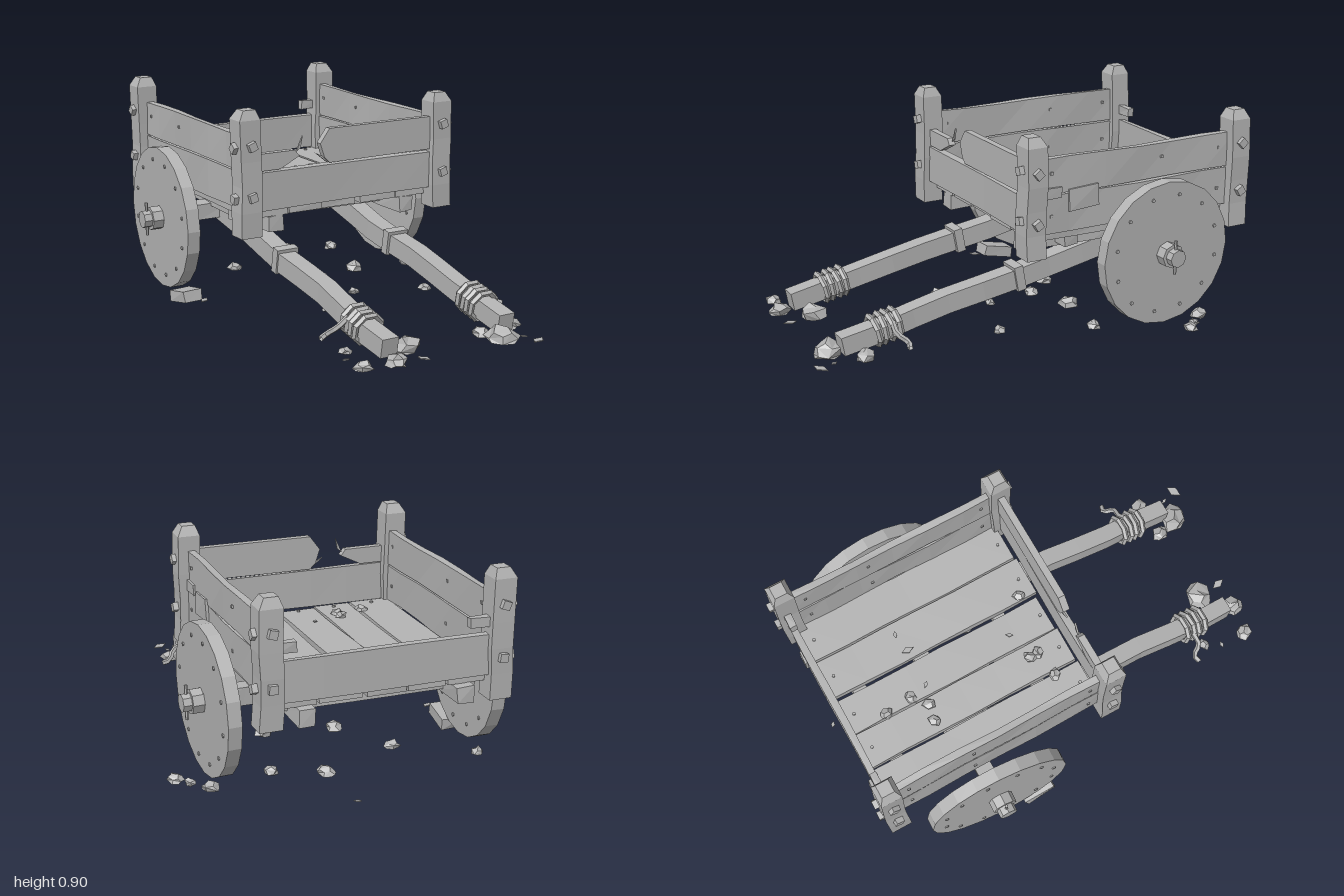
import * as THREE from 'three';

const stone = new THREE.MeshStandardMaterial({ color: 0xb4b4b4, flatShading: true, side: THREE.DoubleSide });
stone.name = 'plain grey';

let seed = 7;
const rand = () => (seed = (seed * 16807) % 2147483647) / 2147483647;

function add(parent, name, geo, x = 0, y = 0, z = 0) {
  const m = new THREE.Mesh(geo, stone);
  m.name = name;
  m.position.set(x, y, z);
  parent.add(m);
  return m;
}

// Moves every vertex by a rule
function warp(geo, fn) {
  const p = geo.attributes.position, v = new THREE.Vector3();
  for (let i = 0; i < p.count; i++) {
    v.fromBufferAttribute(p, i);
    fn(v);
    p.setXYZ(i, v.x, v.y, v.z);
  }
  geo.computeVertexNormals();
  return geo;
}

// Rough-hewn timber given by its min and max corners
function timber(parent, name, x0, x1, y0, y1, z0, z1, amp = 0.003) {
  const seg = (l) => Math.max(1, Math.round(l / 0.16));
  const w = x1 - x0, h = y1 - y0, d = z1 - z0, s = rand() * 20;
  const g = warp(new THREE.BoxGeometry(w, h, d, seg(w), seg(h), seg(d)), (v) => {
    const a = v.x * 23 + v.y * 31 + v.z * 27 + s;
    v.x += amp * Math.sin(a);
    v.y += amp * Math.sin(a * 1.7 + 1);
    v.z += amp * Math.sin(a * 1.3 + 2);
  });
  return add(parent, name, g, (x0 + x1) / 2, (y0 + y1) / 2, (z0 + z1) / 2);
}

// Flat board cut from an outline in x and y
function cutBoard(parent, name, pts, z, depth) {
  const shape = new THREE.Shape(pts.map(([x, y]) => new THREE.Vector2(x, y)));
  return add(parent, name, new THREE.ExtrudeGeometry(shape, { depth, bevelEnabled: false }), 0, 0, z);
}

function post(parent, x, z, y0, y1) {
  const h = y1 - y0;
  const g = warp(new THREE.BoxGeometry(0.093, h, 0.09, 1, 5, 1), (v) => {
    const t = v.y / h + 0.5;
    if (t > 0.99) { v.x *= 0.6; v.z *= 0.6; }
    else if (t > 0.79) v.y = h / 2 - 0.04;
    v.x += 0.004 * Math.sin(t * 9 + x * 5);
    v.z += 0.003 * Math.sin(t * 7 + z * 5);
  });
  add(parent, 'post', g, x, (y0 + y1) / 2, z);
  // Square bolt heads on the two outer faces
  const sx = Math.sign(x), sz = z > -0.4 ? 1 : -1;
  for (const y of [0.56, 0.77]) {
    const a = add(parent, 'bolt', new THREE.BoxGeometry(0.034, 0.034, 0.03), x, y, z + sz * 0.05);
    a.rotation.z = rand() * 0.5;
    const b = add(parent, 'bolt', new THREE.BoxGeometry(0.03, 0.034, 0.034), x + sx * 0.052, y - 0.01, z);
    b.rotation.x = rand() * 0.8;
  }
}

function wheel(parent, x, side, yaw, roll) {
  const g = new THREE.Group();
  g.name = 'wheel';
  g.position.set(x, 0.359, -0.507);
  g.rotation.set(0, yaw, roll);
  parent.add(g);
  add(g, 'wheelDisc', new THREE.CylinderGeometry(0.31, 0.31, 0.056, 20).rotateZ(Math.PI / 2));
  for (let i = 0; i < 12; i++) {
    const a = (i / 12) * Math.PI * 2 + 0.2;
    add(g, 'wheelNail', new THREE.CylinderGeometry(0.008, 0.008, 0.066, 6).rotateZ(Math.PI / 2),
      0, 0.255 * Math.sin(a), 0.255 * Math.cos(a));
  }
  add(g, 'hub', new THREE.CylinderGeometry(0.052, 0.052, 0.05, 8).rotateZ(Math.PI / 2), side * 0.05);
  add(g, 'hubCap', new THREE.CylinderGeometry(0.038, 0.038, 0.04, 8).rotateZ(Math.PI / 2), side * 0.09);
  add(g, 'linchPin', new THREE.CylinderGeometry(0.007, 0.007, 0.145, 6), side * 0.088);
}

// Shaft sloping down to the ground, with collar and rope binding
function shaft(parent, x, side) {
  const g = new THREE.Group();
  g.name = 'shaft';
  g.position.set(x, 0.297, -0.19);
  g.rotation.x = Math.atan(0.186);
  parent.add(g);
  const beam = warp(new THREE.BoxGeometry(0.082, 0.088, 1.44, 1, 1, 9), (v) => {
    const k = 1 - 0.1 * (v.z / 1.44 + 0.5);
    v.x = v.x * k + 0.005 * Math.sin(v.z * 11 + side);
    v.y = v.y * k + 0.005 * Math.sin(v.z * 8);
  });
  add(g, 'shaftBeam', beam, 0, 0, 0.32);
  add(g, 'collar', new THREE.BoxGeometry(0.1, 0.108, 0.04), 0, 0, 0.23);
  for (let i = 0; i < 4; i++) {
    const coil = new THREE.TorusGeometry(0.062, 0.013, 5, 8).rotateZ(Math.PI / 8);
    const m = add(g, 'ropeCoil', coil, 0, 0, 0.795 + i * 0.031);
    m.rotation.set(0.06 * (i % 2), 0.05 * Math.sin(i * 2), 0);
  }
  const tail = new THREE.CatmullRomCurve3([[0.05, 0.03, 0.82], [0.1, 0.0, 0.83], [0.13, -0.04, 0.8], [0.16, -0.05, 0.81]]
    .map(([a, b, c]) => new THREE.Vector3(side * a, b, c)));
  add(g, 'ropeTail', new THREE.TubeGeometry(tail, 6, 0.012, 5));
}

function rock(parent, x, z, r, y, name = 'rock') {
  const s = rand() * 30;
  const g = warp(new THREE.DodecahedronGeometry(r, 0), (v) => {
    const k = 1 + 0.18 * Math.sin(v.x / r * 4 + v.y / r * 3 + v.z / r * 5 + s);
    v.set(v.x * k, Math.max(v.y * k * 0.75, -0.2 * r), v.z * k * 0.85);
  });
  add(parent, name, g, x, y + 0.2 * r, z).rotation.y = rand() * 6;
}

// Thin pointed chip
function chip(parent, x, y, z, len, rx, ry) {
  const g = new THREE.CylinderGeometry(len * 0.3, len * 0.3, 0.004, 4).scale(1, 1, 1.8);
  add(parent, 'chip', g, x, y, z).rotation.set(rx, ry, 0);
}

export function createModel() {
  const cart = new THREE.Group();
  cart.name = 'cart';

  // Floor planks with nails
  const floor = [[-0.485, -0.31], [-0.297, -0.142], [-0.135, 0.025], [0.045, 0.222], [0.23, 0.405]];
  floor.forEach(([a, b], i) => {
    timber(cart, 'floorPlank', a, b, 0.452, 0.484, -0.92, 0.05 - 0.006 * (i % 3), 0.002);
    for (const z of [-0.88, 0.01])
      add(cart, 'floorNail', new THREE.CylinderGeometry(0.007, 0.007, 0.008, 6), (a + b) / 2, 0.488, z);
  });

  // Corner posts
  post(cart, -0.508, 0.068, 0.39, 0.915);
  post(cart, 0.424, 0.068, 0.4, 0.905);
  post(cart, -0.508, -0.928, 0.385, 0.91);
  post(cart, 0.424, -0.928, 0.39, 0.9);

  // Side walls, two boards each
  for (const x of [-0.512, 0.4]) {
    timber(cart, 'sideLowerBoard', x, x + 0.03, 0.487, 0.645, -0.93, 0.06);
    timber(cart, 'sideUpperBoard', x, x + 0.03, 0.652, 0.8, -0.93, 0.06);
    for (const y of [0.56, 0.74]) for (const z of [-0.84, -0.55, -0.02])
      add(cart, 'sideNail', new THREE.BoxGeometry(0.04, 0.012, 0.012), x + 0.015, y, z);
  }
  timber(cart, 'patchPlate', 0.428, 0.44, 0.575, 0.67, -0.24, -0.1, 0.002).rotation.x = 0.06;
  timber(cart, 'patchStrip', 0.428, 0.438, 0.635, 0.68, -0.065, 0.02, 0.001);

  // Front wall with a broken upper board
  timber(cart, 'frontLowerBoard', -0.47, 0.39, 0.487, 0.648, 0.053, 0.085);
  cutBoard(cart, 'frontBrokenBoard',
    [[0.39, 0.657], [0.39, 0.8], [-0.125, 0.8], [-0.17, 0.74], [-0.15, 0.68], [-0.125, 0.655]], 0.053, 0.03);
  cutBoard(cart, 'frontBoardStub',
    [[-0.47, 0.655], [-0.36, 0.655], [-0.27, 0.7], [-0.29, 0.727], [-0.47, 0.727]], 0.053, 0.03);
  cutBoard(cart, 'splinter', [[-0.275, 0.715], [-0.255, 0.73], [-0.245, 0.78]], 0.06, 0.008);
  cutBoard(cart, 'splinter', [[-0.185, 0.7], [-0.13, 0.655], [-0.125, 0.67]], 0.06, 0.008);

  // Back wall with stubs of its missing upper board
  timber(cart, 'backLowerBoard', -0.47, 0.385, 0.487, 0.648, -0.95, -0.92);
  timber(cart, 'backBoardStub', -0.47, -0.38, 0.68, 0.72, -0.95, -0.92, 0.002);
  timber(cart, 'backBoardStub', 0.32, 0.39, 0.68, 0.72, -0.95, -0.92, 0.002);

  // Underframe and axle
  timber(cart, 'frameBeam', -0.4, -0.33, 0.385, 0.452, -0.96, 0.05);
  timber(cart, 'frameBeam', 0.25, 0.315, 0.385, 0.452, -0.96, 0.05);
  for (const z of [-0.84, -0.17]) timber(cart, 'crossBeam', -0.47, 0.39, 0.405, 0.451, z, z + 0.06);
  timber(cart, 'axle', -0.63, 0.55, 0.327, 0.4, -0.545, -0.475);

  wheel(cart, -0.608, -1, -0.04, 0.01);
  wheel(cart, 0.522, 1, 0.03, -0.02);
  const chunk = timber(cart, 'wheelFragment', -0.65, -0.563, 0.025, 0.075, -0.39, -0.25, 0.004);
  chunk.rotation.x = -0.2;

  shaft(cart, -0.317, -1);
  shaft(cart, 0.233, 1);

  // Rocks on the ground: x, z, radius
  [[-0.447, 0.857, 0.04], [-0.315, 0.88, 0.05], [-0.2, 0.77, 0.065], [-0.41, 0.67, 0.028],
    [0.19, 0.87, 0.07], [0.31, 0.757, 0.045], [0.156, 0.777, 0.04], [-0.2, 0.19, 0.028],
    [0.315, 0.155, 0.03], [0.675, -0.555, 0.035], [0.565, -0.67, 0.04], [0.63, -0.6, 0.025],
    [-0.548, -0.73, 0.03], [0.463, -0.21, 0.035], [-0.1, -0.3, 0.04], [0.2, -0.25, 0.045],
    [-0.25, -0.55, 0.035], [0.1, -0.7, 0.04], [0.3, -0.62, 0.035], [0, -0.18, 0.035], [0.02, 0.04, 0.025],
  ].forEach(([x, z, r]) => rock(cart, x, z, r, 0.052));

  // Pebbles lying on the floor
  [[-0.124, -0.762], [-0.11, -0.64], [-0.246, -0.6], [-0.172, -0.587], [-0.316, -0.068],
    [-0.2, -0.122], [-0.198, -0.082], [0.066, -0.026],
  ].forEach(([x, z]) => rock(cart, x, z, 0.028, 0.484, 'pebble'));

  // Loose chips
  [[0.082, 0.49, -0.555, 0.05], [0.168, 0.49, -0.57, 0.03], [-0.07, 0.49, -0.148, 0.03], [-0.09, 0.49, -0.56, 0.03],
    [0.31, 0.055, 0.945, 0.07], [-0.19, 0.055, 0.88, 0.06], [-0.45, 0.055, 0.74, 0.03], [0.63, 0.055, -0.61, 0.04],
    [0.08, 0.055, -0.97, 0.03], [-0.58, 0.055, -0.2, 0.05], [0.29, 0.055, 0.88, 0.03],
  ].forEach(([x, y, z, l], i) => chip(cart, x, y, z, l, 0.1 * Math.sin(i), i * 1.3));

  return cart;
}
